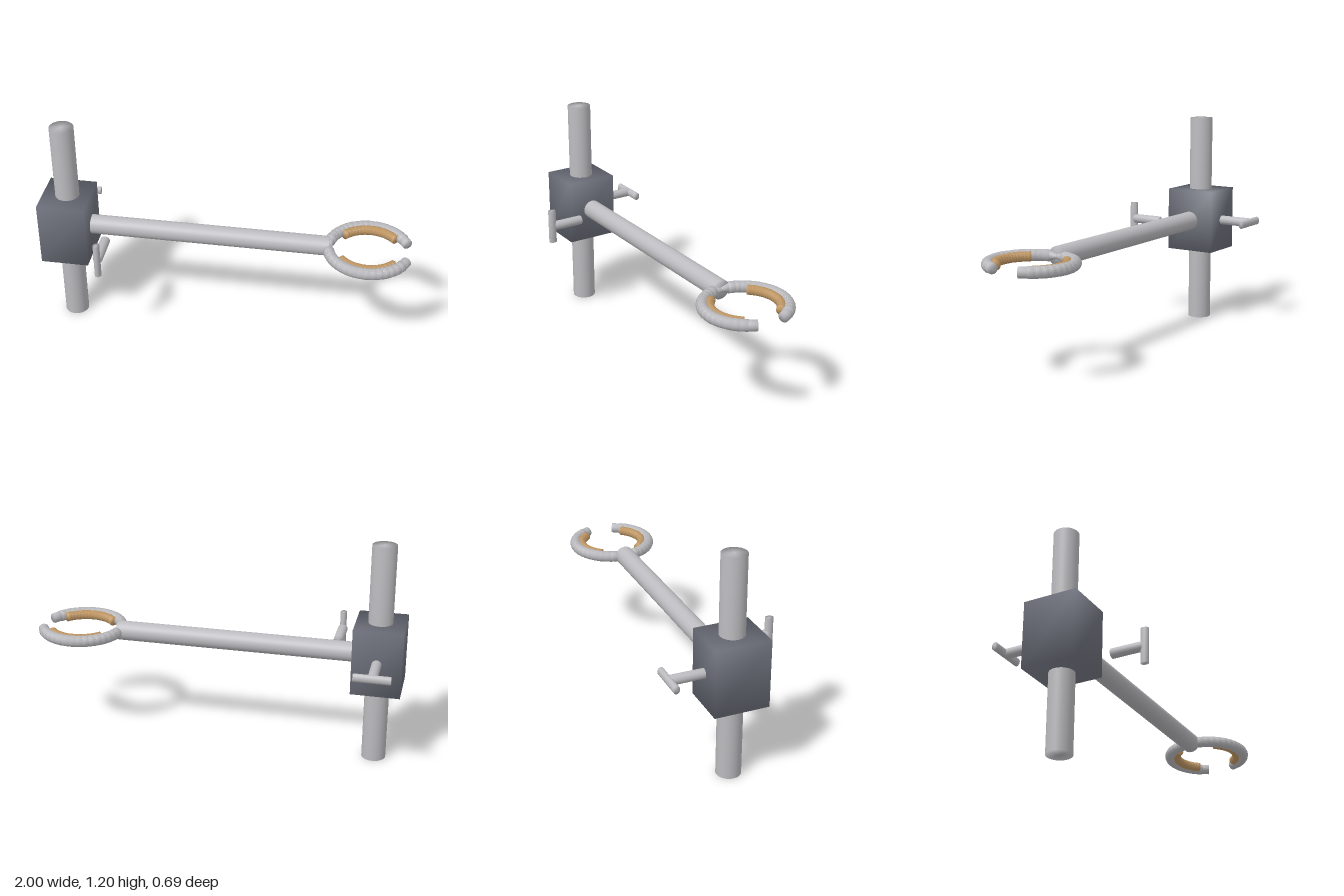
import * as THREE from 'three';
import { mergeVertices } from 'three/addons/utils/BufferGeometryUtils.js';

const steel = new THREE.MeshStandardMaterial({ color: 0xbcbcc0 });
steel.name = 'steel';
const casting = new THREE.MeshStandardMaterial({ color: 0x6e717c });
casting.name = 'dark casting';
const cork = new THREE.MeshStandardMaterial({ color: 0xc49a66 });
cork.name = 'cork';

const UP = new THREE.Vector3(0, 1, 0);
const MID = 0.6; // height of the arm and jaws
const v = (x, y, z) => new THREE.Vector3(x, y, z);

// Share corners so the shading runs softly over every edge
function soften(geometry) {
  geometry.deleteAttribute('normal');
  geometry.deleteAttribute('uv');
  const welded = mergeVertices(geometry, 1e-5);
  welded.computeVertexNormals();
  return welded;
}

// Round bar between two points, optionally tapered
function bar(name, a, b, r0, material, r1 = r0, sides = 24) {
  const dir = b.clone().sub(a);
  const mesh = new THREE.Mesh(soften(new THREE.CylinderGeometry(r1, r0, dir.length(), sides)), material);
  mesh.position.copy(a).add(b).multiplyScalar(0.5);
  mesh.quaternion.setFromUnitVectors(UP, dir.normalize());
  mesh.name = name;
  return mesh;
}

// Row of short overlapping cylinders along an arc around the jaw centre
function beadedArc(name, radius, thickness, from, to, count, side, material) {
  const group = new THREE.Group();
  group.name = name;
  const step = (to - from) / count;
  const at = (deg) => {
    const t = THREE.MathUtils.degToRad(deg);
    return v(0.77 + radius * Math.cos(t), MID, side * radius * Math.sin(t));
  };
  for (let i = 0; i < count; i++) {
    const start = from + i * step;
    group.add(bar('bead', at(start - step * 0.15), at(start + step * 1.15), thickness, material, thickness, 16));
  }
  return group;
}

export function createModel() {
  const model = new THREE.Group();
  model.name = 'laboratoryClamp';

  // Upright rod, clamp block and arm
  model.add(bar('uprightRod', v(-0.867, 0, 0), v(-0.867, 1.2, 0), 0.065, steel, 0.065, 32));
  const block = new THREE.Mesh(soften(new THREE.BoxGeometry(0.26, 0.36, 0.29)), casting);
  block.position.set(-0.87, MID, 0);
  block.name = 'clampBlock';
  model.add(block);
  model.add(bar('arm', v(-0.78, MID, 0), v(0.56, MID, 0), 0.053, steel, 0.053, 32));

  // Thumbscrews: front handle upright, back handle level
  const frontScrew = new THREE.Group();
  frontScrew.name = 'frontThumbscrew';
  frontScrew.add(bar('screwStem', v(-0.633, MID, 0.14), v(-0.633, MID, 0.31), 0.026, steel));
  const frontHandle = bar('screwHandle', v(-0.633, 0.505, 0.321), v(-0.633, 0.695, 0.321), 0.0225, steel);
  frontHandle.scale.x = 0.78;
  frontScrew.add(frontHandle);

  const backScrew = new THREE.Group();
  backScrew.name = 'backThumbscrew';
  backScrew.add(bar('screwStem', v(-0.87, MID, -0.14), v(-0.87, MID, -0.32), 0.026, steel));
  const backHandle = bar('screwHandle', v(-0.965, MID, -0.327), v(-0.772, MID, -0.327), 0.0225, steel);
  backHandle.scale.z = 0.78;
  backScrew.add(backHandle);
  model.add(frontScrew, backScrew);

  // Mirrored ribbed jaws with cork lining
  for (const side of [1, -1]) {
    const jaw = new THREE.Group();
    jaw.name = side > 0 ? 'frontJaw' : 'backJaw';
    jaw.add(bar('jawRoot', v(0.565, MID, 0), v(0.56, MID, side * 0.062), 0.012, steel, 0.03, 16));
    jaw.add(beadedArc('jawRibs', 0.215, 0.0305, 34, 167, 16, side, steel));
    jaw.add(beadedArc('jawTip', 0.217, 0.028, 23, 35, 1, side, steel));
    jaw.add(beadedArc('corkLining', 0.178, 0.0255, 40, 140, 15, side, cork));
    model.add(jaw);
  }
  return model;
}
